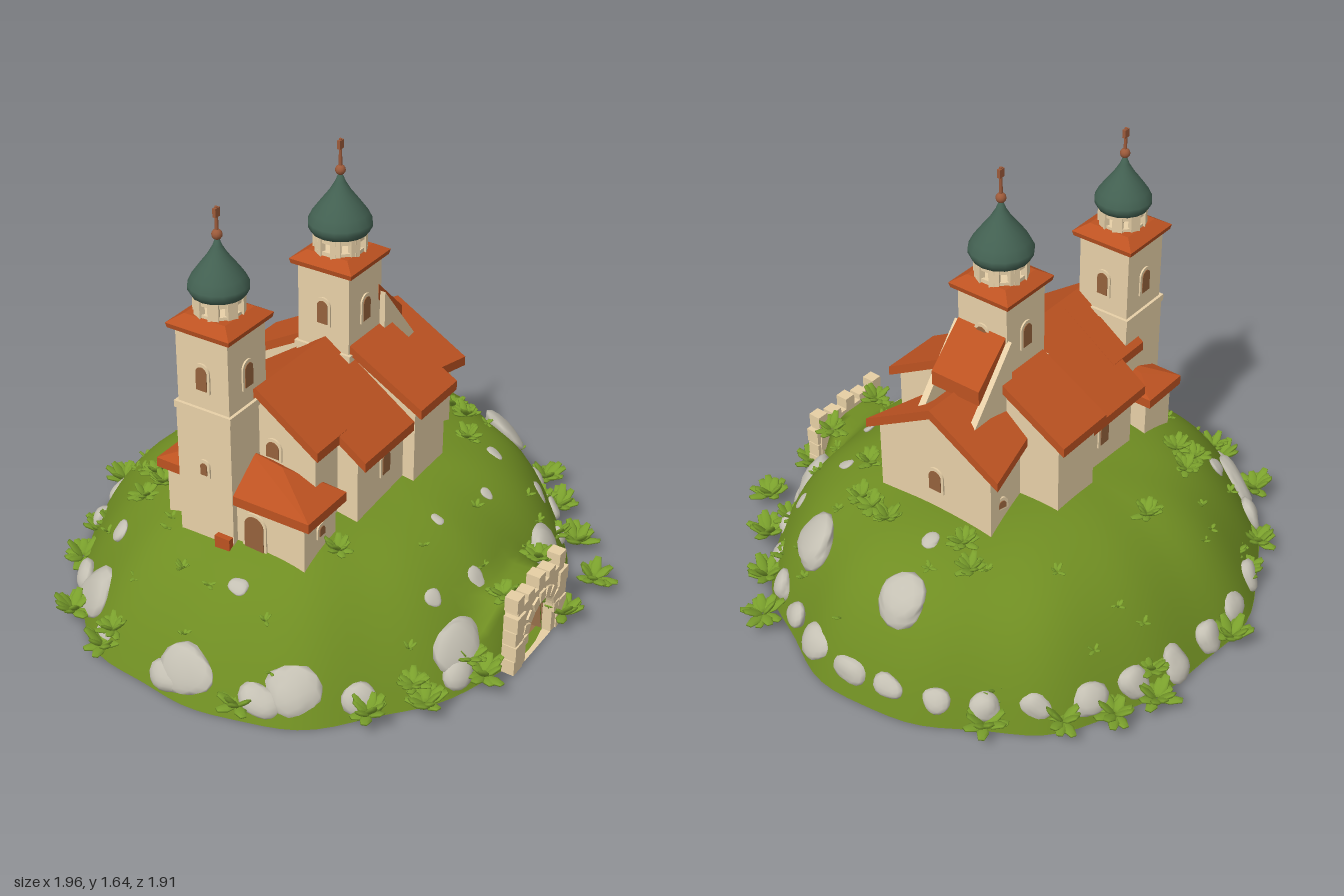
import * as THREE from 'three';
import { mergeGeometries, mergeVertices } from 'three/addons/utils/BufferGeometryUtils.js';
import { ConvexGeometry } from 'three/addons/geometries/ConvexGeometry.js';

const mat = (name, color, side = THREE.FrontSide) => {
  const m = new THREE.MeshStandardMaterial({ color, side });
  m.name = name;
  return m;
};
const GRASS = mat('grass', 0x6f8d22, THREE.DoubleSide), PLASTER = mat('plaster', 0xeed6ac),
  TILE = mat('roofTile', 0xbc5221), COPPER = mat('domeGreen', 0x436152),
  STONE = mat('rock', 0xc4c0b3), LEAF = mat('leaf', 0x7aa02c), GATE = mat('gateStone', 0xe6cfa4),
  WOOD = mat('wood', 0x966f4a, THREE.DoubleSide), GLASS = mat('windowBrown', 0x95623c), METAL = mat('finial', 0x9c5a3a);

let seed = 7;
const rand = (a = 0, b = 1) => {
  seed = (seed * 16807) % 2147483647;
  return a + (b - a) * seed / 2147483647;
};

export function createModel() {
  const root = new THREE.Group();
  root.name = 'hilltopChurch';
  const add = (name, geo, material, x = 0, y = 0, z = 0, parent = root) => {
    const m = new THREE.Mesh(geo, material);
    m.name = name;
    m.position.set(x, y, z);
    parent.add(m);
    return m;
  };
  const box = (name, material, x0, x1, y0, y1, z0, z1, parent) =>
    add(name, new THREE.BoxGeometry(x1 - x0, y1 - y0, z1 - z0), material, (x0 + x1) / 2, (y0 + y1) / 2, (z0 + z1) / 2, parent);
  const shapeOf = pts => new THREE.Shape(pts.map(p => new THREE.Vector2(...p)));
  const extrude = (shape, depth) => new THREE.ExtrudeGeometry(shape, { depth, bevelEnabled: false, curveSegments: 10 });
  // Round-topped outline standing on y = 0
  const arch = (w, h, Type = THREE.Shape) => {
    const s = new Type();
    s.moveTo(-w / 2, 0);
    s.lineTo(w / 2, 0);
    s.lineTo(w / 2, h - w / 2);
    s.absarc(0, h - w / 2, w / 2, 0, Math.PI, false);
    s.lineTo(-w / 2, 0);
    return s;
  };

  // Hill: rounded mound, steeper at the back, built up behind the gate
  const CX = -0.02, CZ = -0.01, RX = 0.87, RZ = 0.94, GZ = 0.015;
  const hillY = (x, z) => {
    const dx = (x - CX) / RX, dz = (z - CZ) / RZ, u = Math.min(1, Math.hypot(dx, dz));
    const p = 4 + 2.5 * Math.max(0, -dz);
    const h = 0.49 * (1 - u ** p) + 0.015 * Math.sin(9 * x + 2) * Math.sin(8 * z) * (1 - u);
    const bank = 0.245 - 1.2 * Math.max(0, Math.abs(z - GZ) - 0.13);
    return x > 0.6 && u < 0.985 ? Math.max(h, bank) : h;
  };
  const rim = a => 1 + 0.012 * Math.sin(7 * a) + 0.008 * Math.sin(13 * a + 1);
  const rings = 30, segs = 96, pos = [], idx = [];
  for (let i = 0; i <= rings; i++) for (let j = 0; j < segs; j++) {
    const a = j / segs * Math.PI * 2, u = i / rings;
    const x = CX + RX * u * Math.cos(a), z = CZ + RZ * u * Math.sin(a);
    pos.push(CX + (x - CX) * rim(a), hillY(x, z), CZ + (z - CZ) * rim(a));
    if (i === rings) continue;
    const j2 = (j + 1) % segs, p = i * segs + j, q = i * segs + j2;
    const mouth = i === rings - 1 && pos.at(-3) > 0 && Math.abs(pos.at(-1) + 0.028 - GZ) < 0.1;
    if (!mouth) idx.push(p, q, p + segs, q, q + segs, p + segs);
  }
  const hill = new THREE.BufferGeometry();
  hill.setAttribute('position', new THREE.Float32BufferAttribute(pos, 3));
  hill.setIndex(idx);
  hill.computeVertexNormals();
  add('hill', hill, GRASS);
  const base = shapeOf(Array.from({ length: segs }, (_, j) => {
    const a = j / segs * Math.PI * 2;
    return [CX + RX * rim(a) * Math.cos(a), CZ + RZ * rim(a) * Math.sin(a)];
  }));
  base.holes.push(new THREE.Path([[0.6, -0.08], [0.82, -0.08], [0.82, 0.11], [0.6, 0.11]].map(p => new THREE.Vector2(...p))));
  add('hillBase', new THREE.ShapeGeometry(base).rotateX(Math.PI / 2), GRASS, 0, 0.002, 0);

  // Gate with battlements and a wooden tunnel
  const gateShape = shapeOf([[-0.18, 0], [0.18, 0], [0.165, 0.26], [-0.165, 0.26]]);
  gateShape.holes.push(arch(0.19, 0.2, THREE.Path));
  add('gateWall', extrude(gateShape, 0.05).rotateY(Math.PI / 2), GATE, 0.825, 0, GZ);
  const tunnel = arch(0.2, 0.21);
  tunnel.holes.push(arch(0.188, 0.198, THREE.Path));
  add('tunnelLining', extrude(tunnel, 0.24).rotateY(Math.PI / 2), WOOD, 0.6, 0, GZ);
  add('tunnelEnd', extrude(arch(0.2, 0.21), 0.008).rotateY(Math.PI / 2), WOOD, 0.6, 0, GZ);
  for (let i = 0; i < 5; i++) box('merlon', GATE, 0.825, 0.875, 0.25, i % 2 ? 0.285 : 0.305, GZ - 0.175 + i * 0.076, GZ - 0.129 + i * 0.076);
  for (let i = 0; i <= 8; i++) {
    const a = i / 8 * Math.PI;
    const v = add('archStone', new THREE.BoxGeometry(0.03, 0.04, 0.036), GATE, 0.868, 0.105 + 0.115 * Math.sin(a), GZ + 0.115 * Math.cos(a));
    v.rotation.x = Math.PI / 2 - a;
  }
  for (const s of [-1, 1]) for (let i = 0; i < 4; i++)
    box('jambStone', GATE, 0.83, 0.88 + 0.004 * (i % 2), i * 0.06, i * 0.06 + 0.056, GZ + s * 0.155 - 0.03, GZ + s * 0.155 + 0.03);

  // Rocks: lumpy flattened spheres lying on the slope
  const UP = new THREE.Vector3(0, 1, 0);
  const rock = (x, z, s, thick = 0.3) => {
    const ico = new THREE.IcosahedronGeometry(1, 2);
    ico.deleteAttribute('normal');
    ico.deleteAttribute('uv');
    const g = mergeVertices(ico, 1e-4), p = g.attributes.position, k = rand(0, 6);
    for (let i = 0; i < p.count; i++) {
      const f = 1 + 0.13 * Math.sin(3 * p.getX(i) + k) + 0.1 * Math.sin(4 * p.getY(i) + 2 * k + 2 * p.getZ(i));
      p.setXYZ(i, p.getX(i) * f * s, p.getY(i) * f * s * thick, p.getZ(i) * f * s * 0.85);
    }
    g.computeVertexNormals();
    const e = 0.02, n = new THREE.Vector3(hillY(x - e, z) - hillY(x + e, z), 2 * e, hillY(x, z - e) - hillY(x, z + e)).normalize();
    add('rock', g, STONE, x, hillY(x, z), z).quaternion.setFromUnitVectors(UP, n);
  };
  for (let i = 1; i < 31; i++) {
    const a = (i + 0.1) / 32 * Math.PI * 2, s = rand(0.045, 0.075);
    if (i < 14 && i % 2) continue;
    if (i > 1) rock(CX + RX * 0.965 * Math.cos(a), CZ + RZ * 0.965 * Math.sin(a), s, 0.5);
  }
  [[-0.5, 0.71, 0.11], [0.03, 0.87, 0.1], [0.37, 0.77, 0.1], [0.73, 0.31, 0.11], [0.73, -0.3, 0.1]].forEach(p => rock(...p));
  [[-0.11, -0.76, 0.1], [0.35, -0.69, 0.11], [-0.08, -0.57, 0.035], [0.55, -0.18, 0.025], [0.46, -0.4, 0.03], [-0.5, 0.56, 0.045],
    [0.09, 0.67, 0.035], [0.62, 0.3, 0.035], [0.5, 0.08, 0.025], [0.68, 0.12, 0.04], [0.6, -0.5, 0.04]].forEach(p => rock(...p));

  // Bushes: fans of pointed leaves
  const leaf = new THREE.SphereGeometry(1, 6, 5).scale(0.22, 0.09, 0.5).translate(0, 0, 0.5);
  const bush = (x, y, z, s, n = 13) => {
    const leaves = Array.from({ length: n }, (_, i) => leaf.clone().scale(s, s, s * rand(0.75, 1.05))
      .rotateX(-rand(0.05, 0.95)).rotateY(i * 2.4));
    add('bush', mergeGeometries(leaves), LEAF, x, y, z);
  };
  [[-0.68, -0.63], [-0.87, -0.36], [-0.91, 0.04], [-0.49, -0.8], [0.45, -0.87], [0.58, -0.72], [0.89, -0.38], [0.89, -0.14],
    [0.22, 0.87], [-0.34, 0.87], [-0.55, 0.78], [0.73, 0.53], [0.6, 0.67], [-0.77, 0.35], [-0.72, 0.52], [0.82, 0.3],
    [-0.8, -0.5], [0.74, -0.55]].forEach(([x, z], i) => {
    bush(x, 0.045, z, 0.095);
    if (i % 2) bush(x * 0.93, 0.1, z * 0.93 + 0.03, 0.075);
  });
  for (const z of [-0.13, 0.12]) bush(0.79, 0.25, z, 0.08);
  [[-0.26, -0.58], [-0.18, -0.52], [0.11, -0.57], [0.2, -0.55], [0.27, -0.53], [-0.5, 0.34], [-0.42, 0.4], [-0.47, 0.45],
    [0.36, -0.38], [-0.55, 0.02], [0.32, 0.42]].forEach(([x, z]) => bush(x, hillY(x, z) + 0.005, z, 0.07));
  for (let i = 0; i < 30; i++) {
    const a = rand(0, 6.28), u = rand(0.65, 0.92), x = CX + RX * u * Math.cos(a), z = CZ + RZ * u * Math.sin(a);
    bush(x, hillY(x, z), z, 0.035, 5);
  }

  // Gabled blocks: plaster pentagon under a tiled chevron, optionally narrower at the front end
  const gable = (name, z0, z1, wall, half, eave, ridge, taper = 1) => {
    const t = 0.035, k = (ridge - eave) / half, top = ridge - 0.02, inset = 0.02;
    const body = shapeOf([[-wall, 0.36], [wall, 0.36], [wall, top - k * wall], [0, top], [-wall, top - k * wall]]);
    const chevron = shapeOf([[-half, eave], [0, ridge], [half, eave], [half, eave - t], [0, ridge - t], [-half, eave - t]]);
    const walls = extrude(body, z1 - z0 - inset * 2).translate(0, 0, inset), roof = extrude(chevron, z1 - z0);
    for (const { attributes: { position: p } } of [walls, roof])
      for (let i = 0; i < p.count; i++) p.setX(i, p.getX(i) * (1 + (taper - 1) * p.getZ(i) / (z1 - z0)));
    add(name + 'Walls', walls, PLASTER, 0.005, 0, z0);
    add(name + 'Roof', roof, TILE, 0.005, 0, z0);
  };
  gable('nave', -0.06, 0.3, 0.3, 0.342, 0.715, 0.955);
  gable('naveFront', 0.25, 0.43, 0.22, 0.24, 0.788, 0.955);
  gable('transept', -0.23, 0.01, 0.345, 0.38, 0.78, 0.995);
  gable('choir', -0.46, -0.16, 0.245, 0.285, 0.735, 0.9, 0.7);

  // Sloping walls and high roof running from the rear tower over the choir
  const fin = shapeOf([[0.18, 1.07], [0.44, 0.75], [0.44, 0.6], [0.18, 0.6]]);
  for (const x of [-0.12, 0.095]) add('slopingWall', extrude(fin, 0.025).rotateY(Math.PI / 2), PLASTER, x, 0, 0);
  add('highRoof', extrude(shapeOf([[0.17, 1.1], [0.33, 0.945], [0.33, 0.89], [0.17, 1.04]]), 0.2).rotateY(Math.PI / 2), TILE, -0.1, 0, 0);

  // Hipped lean-tos on either side of the front tower
  const leanTo = (name, x0, x1, z0, z1, eave, top) => {
    const d = Math.sign(x1 - x0), pts = [];
    box(name + 'Walls', PLASTER, Math.min(x0, x1 - d * 0.03), Math.max(x0, x1 - d * 0.03), 0.36, eave + 0.01, z0 + 0.02, z1 - 0.02);
    for (const z of [z0, z1]) for (const x of [x0, x1]) for (const dy of [0, 0.035]) pts.push(new THREE.Vector3(x, eave + dy, z));
    const mid = (z0 + z1) / 2 - 0.02;
    pts.push(new THREE.Vector3(x0, top, mid), new THREE.Vector3(x0 + (x1 - x0) * 0.4, top - 0.02, mid));
    add(name + 'Roof', new ConvexGeometry(pts), TILE);
  };
  leanTo('porch', -0.02, 0.3, 0.34, 0.565, 0.575, 0.71);
  leanTo('sideRoom', -0.18, -0.335, 0.34, 0.535, 0.59, 0.68);

  // Openings: a raised surround with a thin dark plate
  const opening = (name, x, y, z, w, h, turn) => {
    const g = new THREE.Group();
    g.name = name;
    g.position.set(x, y, z);
    g.rotation.y = turn;
    root.add(g);
    add('surround', extrude(arch(w + 0.02, h + 0.02), 0.008), PLASTER, 0, -0.008, -0.002, g);
    add('pane', extrude(arch(w, h), 0.006), GLASS, 0, 0, 0.003, g);
  };
  const Q = Math.PI / 2;

  // Towers: shaft, tiled skirt, open lantern, onion dome and finial
  const tower = (name, x, z, y0, skirt, domeR, domeH, tip) => {
    const g = new THREE.Group();
    g.name = name;
    g.position.set(x, 0, z);
    root.add(g);
    box('lowerShaft', PLASTER, -0.108, 0.108, y0, 0.89, -0.108, 0.108, g);
    box('cornice', PLASTER, -0.113, 0.113, 0.885, 0.91, -0.113, 0.113, g);
    box('upperShaft', PLASTER, -0.102, 0.102, 0.9, skirt + 0.01, -0.102, 0.102, g);
    const four = (a, b, h) => new THREE.CylinderGeometry(a * Math.SQRT2, b * Math.SQRT2, h, 4).rotateY(Math.PI / 4).toNonIndexed();
    const flat = geo => (geo.computeVertexNormals(), geo);
    add('skirtEdge', flat(four(0.124, 0.12, 0.018)), TILE, 0, skirt + 0.009, 0, g);
    add('skirtRoof', flat(four(0.08, 0.124, 0.028)), TILE, 0, skirt + 0.032, 0, g);
    const ring = h => flat(new THREE.CylinderGeometry(domeR * 0.84, domeR * 0.84, h, 8).rotateY(Math.PI / 8).toNonIndexed());
    const y1 = skirt + 0.035, dome = skirt + 0.108;
    add('lanternBase', ring(0.022), PLASTER, 0, y1 + 0.011, 0, g);
    add('lanternTop', ring(0.025), PLASTER, 0, dome - 0.008, 0, g);
    for (let i = 0; i < 8; i++) {
      const a = (i + 0.5) * Math.PI / 4, r = domeR * 0.74;
      add('lanternPier', new THREE.BoxGeometry(0.02, dome - y1, 0.036), PLASTER, r * Math.cos(a), (y1 + dome) / 2, r * Math.sin(a), g).rotation.y = -a;
    }
    const prof = [[0, 0], [0.9, 0], [1, 0.1], [1, 0.18], [0.86, 0.33], [0.6, 0.52], [0.34, 0.7], [0.16, 0.86], [0.06, 1], [0, 1]];
    add('onionDome', new THREE.LatheGeometry(prof.map(([r, h]) => new THREE.Vector2(r * domeR, h * domeH)), 16), COPPER, 0, dome, 0, g);
    const top = dome + domeH;
    add('finialBall', new THREE.SphereGeometry(0.018, 12, 8), METAL, 0, top + 0.012, 0, g);
    add('finialRod', new THREE.CylinderGeometry(0.005, 0.007, tip - top + 0.02, 8), METAL, 0, (top + tip) / 2 - 0.01, 0, g);
    box('finialBar', METAL, -0.006, 0.006, tip - 0.035, tip - 0.005, -0.012, 0.012, g);
    for (let i = 0; i < 4; i++) {
      const a = i * Q;
      opening('towerWindow', x + 0.102 * Math.sin(a), skirt - 0.2, z + 0.102 * Math.cos(a), 0.042, 0.085, a);
    }
  };
  tower('frontTower', -0.105, 0.46, 0.36, 1.18, 0.1, 0.19, 1.585);
  tower('rearTower', -0.003, -0.085, 0.5, 1.205, 0.11, 0.205, 1.64);

  // Doors and windows
  opening('frontTowerSlit', -0.105, 0.66, 0.568, 0.026, 0.045, 0);
  opening('door', 0.075, 0.41, 0.545, 0.075, 0.135, 0);
  opening('gableWindow', 0.06, 0.7, 0.41, 0.05, 0.06, 0);
  opening('porchWindow', 0.27, 0.495, 0.45, 0.03, 0.035, Q);
  for (const s of [-1, 1]) {
    opening('naveWindow', 0.005 + s * 0.3, 0.565, 0.11, 0.045, 0.08, s * Q);
    opening('choirWindow', 0.005 + s * 0.22, 0.54, -0.36, 0.03, 0.03, s * (Q + 0.25));
  }
  opening('rearWindow', 0, 0.56, -0.44, 0.05, 0.08, Math.PI);
  box('entranceBlock', TILE, -0.06, 0, 0.38, 0.445, 0.54, 0.59);
  return root;
}
